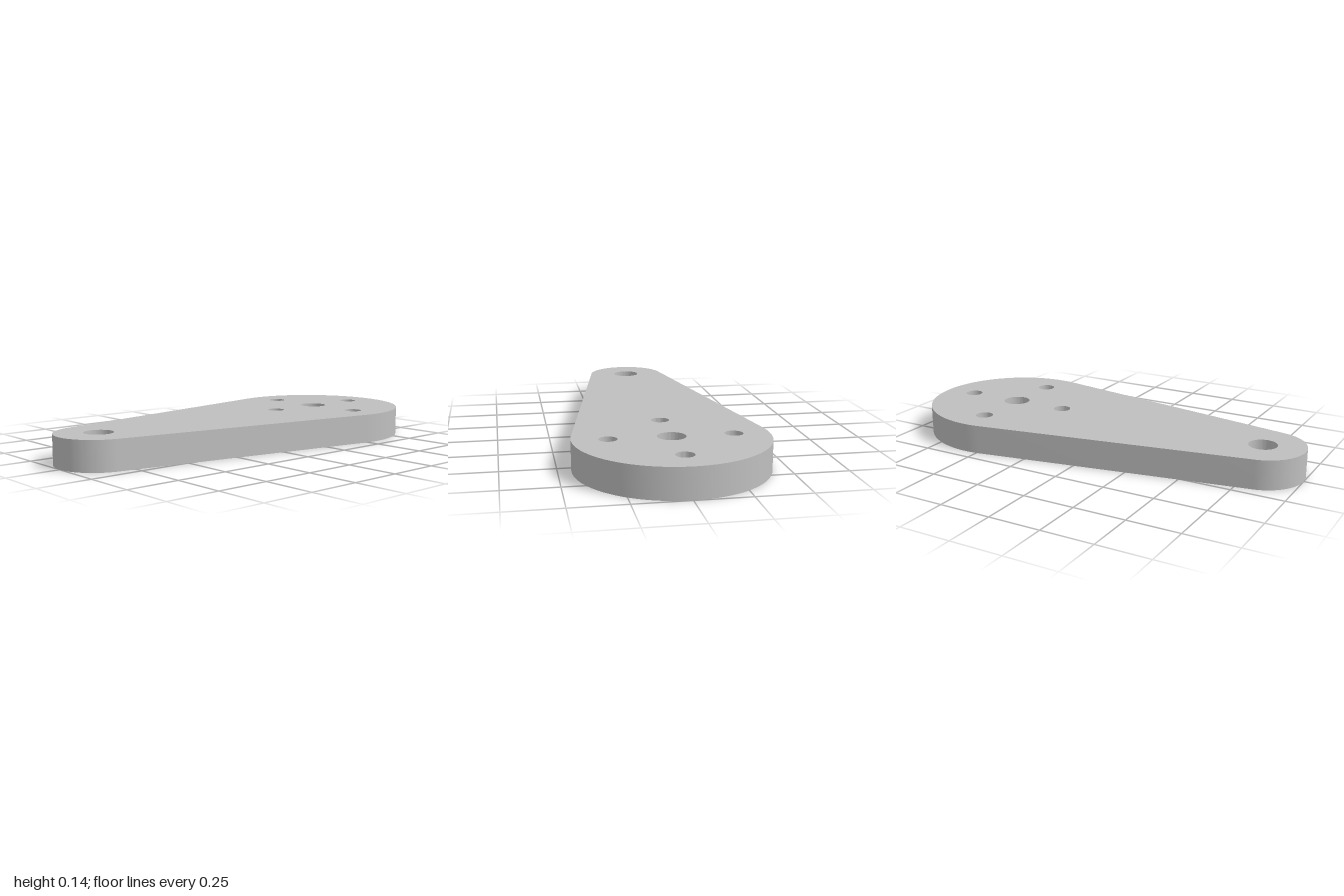
import * as THREE from 'three';
import { toCreasedNormals } from 'three/addons/utils/BufferGeometryUtils.js';

const THICKNESS = 0.14;
const SMALL_END = { x: -0.8, r: 0.2 };
const LARGE_END = { x: 0.56, r: 0.44 };

export function createModel() {
  const steel = new THREE.MeshStandardMaterial({ color: 0xbfbfbf });
  steel.name = 'grey steel';

  // Outline: two round ends joined by their common tangents
  const lean = Math.asin((LARGE_END.r - SMALL_END.r) / (LARGE_END.x - SMALL_END.x));
  const tangent = Math.PI / 2 + lean;
  const outline = new THREE.Shape();
  outline.absarc(LARGE_END.x, 0, LARGE_END.r, -tangent, tangent, false);
  outline.absarc(SMALL_END.x, 0, SMALL_END.r, tangent, 2 * Math.PI - tangent, false);
  outline.closePath();

  // Through holes
  const addHole = (x, y, r) => {
    const hole = new THREE.Path();
    hole.absarc(x, y, r, 0, Math.PI * 2, true);
    outline.holes.push(hole);
  };
  addHole(SMALL_END.x, 0, 0.067); // pivot hole
  addHole(LARGE_END.x, 0, 0.065); // shaft hole
  for (let i = 0; i < 4; i++) { // ring of screw holes
    const a = (i * Math.PI) / 2;
    addHole(LARGE_END.x + 0.28 * Math.cos(a), 0.28 * Math.sin(a), 0.042);
  }

  // Lay the plate flat, smooth round walls with sharp rims
  const geometry = new THREE.ExtrudeGeometry(outline, {
    depth: THICKNESS, bevelEnabled: false, curveSegments: 32,
  });
  geometry.rotateX(-Math.PI / 2);
  const plate = new THREE.Mesh(toCreasedNormals(geometry, 0.6), steel);
  plate.name = 'leverPlate';

  const model = new THREE.Group();
  model.name = 'leverArm';
  model.add(plate);
  return model;
}
